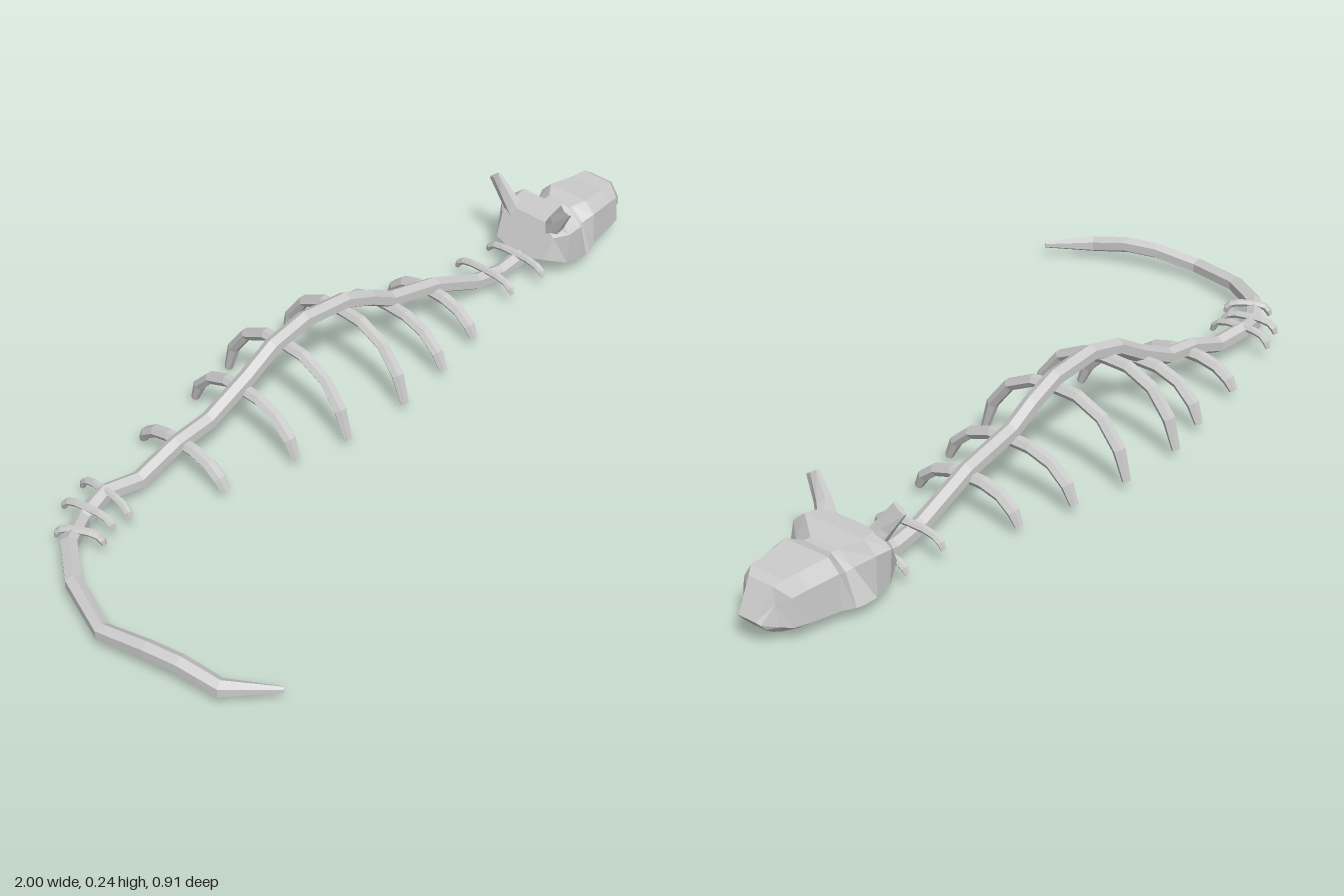
import * as THREE from 'three';

const material = new THREE.MeshStandardMaterial({ color: 0xcccccc, flatShading: true });
const AXIS_Z = -0.25;

// Skin a list of equal-sized rings (counter-clockwise seen from the far end) and cap both ends.
function loft(name, rings) {
  const n = rings[0].length, last = rings.length - 1, pos = [];
  const tri = (...pts) => pts.forEach((p) => pos.push(p.x, p.y, p.z));
  for (let i = 0; i < last; i++) {
    for (let j = 0; j < n; j++) {
      const k = (j + 1) % n;
      tri(rings[i][j], rings[i][k], rings[i + 1][k]);
      tri(rings[i][j], rings[i + 1][k], rings[i + 1][j]);
    }
  }
  for (let j = 1; j < n - 1; j++) {
    tri(rings[0][0], rings[0][j + 1], rings[0][j]);
    tri(rings[last][0], rings[last][j], rings[last][j + 1]);
  }
  const geometry = new THREE.BufferGeometry();
  geometry.setAttribute('position', new THREE.Float32BufferAttribute(pos, 3));
  geometry.computeVertexNormals();
  const mesh = new THREE.Mesh(geometry, material);
  mesh.name = name;
  return mesh;
}

// Six-sided bone along a polyline; size gives [across, along reference] radii by point index.
function bone(name, path, size, reference) {
  const pts = path.map((p) => new THREE.Vector3(...p));
  const rings = pts.map((p, i) => {
    const t = pts[Math.min(i + 1, pts.length - 1)].clone().sub(pts[Math.max(i - 1, 0)]).normalize();
    const r = reference.clone().cross(t).normalize();
    const u = t.clone().cross(r);
    const [a, b] = size(i);
    return Array.from({ length: 6 }, (_, j) => {
      const angle = Math.PI / 2 + (j / 6) * Math.PI * 2;
      return p.clone().addScaledVector(r, Math.cos(angle) * a).addScaledVector(u, Math.sin(angle) * b);
    });
  });
  return loft(name, rings);
}

const X_AXIS = new THREE.Vector3(1, 0, 0);
const ROUND_ARCH = [[0.3, 0.98], [0.63, 0.79], [0.87, 0.42], [0.98, 0]];
const FLAT_ARCH = [[0.45, 0.97], [0.75, 0.8], [0.92, 0.45], [1, 0]];

// Rib arch across the spine, in its own x = 0 plane.
function rib(name, arch, x, z, halfWidth, top, bottom, radius, turn = 0) {
  const full = [...arch.map(([w, h]) => [-w, h]).reverse(), [0, 1], ...arch];
  const path = full.map(([w, h]) => [0, bottom + h * (top - bottom), w * halfWidth]);
  const size = (i) => {
    const r = radius * (i === 0 || i === full.length - 1 ? 0.65 : 1);
    return [r * 0.9, r];
  };
  const mesh = bone(name, path, size, X_AXIS);
  mesh.position.set(x, 0, z);
  mesh.rotation.y = turn;
  return mesh;
}

function createHead() {
  const head = new THREE.Group();
  head.name = 'head';

  // x, lean, then half-section corners [half width, y]: bottom, jaw, cheek, brow
  const sections = [
    [0.618, 0.45, [0.04, 0.055], [0.08, 0.065], [0.085, 0.12], [0.045, 0.145]],
    [0.7, 0, [0.045, 0.035], [0.108, 0.045], [0.113, 0.13], [0.07, 0.158]],
    [0.745, 0, [0.045, 0.018], [0.112, 0.037], [0.112, 0.133], [0.08, 0.161]],
    [0.775, 0, [0.045, 0.004], [0.108, 0.034], [0.078, 0.108], [0.037, 0.136]],
    [0.795, 0, [0.045, 0.001], [0.103, 0.034], [0.075, 0.106], [0.037, 0.137]],
    [0.825, 0, [0.045, 0.005], [0.09, 0.036], [0.086, 0.12], [0.058, 0.148]],
    [0.9, 0, [0.042, 0.015], [0.076, 0.04], [0.073, 0.115], [0.047, 0.144]],
    [0.938, 0, [0.036, 0.023], [0.07, 0.045], [0.065, 0.11], [0.044, 0.145]],
    [0.957, 0, [0.03, 0.029], [0.045, 0.045], [0.038, 0.095], [0.032, 0.134]],
    [0.938, 0.9, [0.024, 0.035], [0.032, 0.045], [0.03, 0.06], [0.022, 0.068]],
  ];
  head.add(loft('skull', sections.map(([x, lean, ...half]) => {
    const point = (w, y) => new THREE.Vector3(x + lean * y, y, AXIS_Z + w);
    return [...half.map(([w, y]) => point(-w, y)), ...half.map(([w, y]) => point(w, y)).reverse()];
  })));

  // Flattened horns splayed to each side
  const taper = (i) => [[0.026, 0.026], [0.023, 0.017], [0.02, 0.008]][i];
  for (const s of [-1, 1]) {
    head.add(bone(s > 0 ? 'leftHorn' : 'rightHorn', [
      [0.698, 0.125, AXIS_Z + s * 0.06], [0.687, 0.165, AXIS_Z + s * 0.084], [0.678, 0.215, AXIS_Z + s * 0.118],
    ], taper, X_AXIS));
  }
  return head;
}

export function createModel() {
  const model = new THREE.Group();
  model.name = 'serpentSkeleton';

  // Backbone from tail tip to skull
  const spine = [
    [-0.84, 0.036, 0.45], [-0.925, 0.037, 0.355], [-0.945, 0.054, 0.26], [-0.962, 0.054, 0.18],
    [-0.98, 0.038, 0.06], [-0.93, 0.048, -0.09], [-0.86, 0.052, -0.19], [-0.78, 0.043, -0.243],
    [-0.7, 0.058, -0.262], [-0.61, 0.05, AXIS_Z], [-0.5, 0.087, AXIS_Z], [-0.4, 0.1, AXIS_Z],
    [-0.28, 0.155, AXIS_Z], [-0.2, 0.2, AXIS_Z], [-0.1, 0.223, AXIS_Z], [0.03, 0.212, AXIS_Z],
    [0.11, 0.18, AXIS_Z], [0.18, 0.142, AXIS_Z], [0.33, 0.108, AXIS_Z], [0.48, 0.045, AXIS_Z],
    [0.57, 0.03, AXIS_Z], [0.68, 0.045, AXIS_Z],
  ];
  const spineSize = (i) => (i === 0 ? [0.006, 0.008] : [0.021, 0.021]);
  model.add(bone('spine', spine, spineSize, new THREE.Vector3(0, 1, 0)));

  // Large ribs: x, half width, top height
  const ribs = [
    [-0.482, 0.14, 0.08], [-0.295, 0.172, 0.13], [-0.162, 0.203, 0.187],
    [0.024, 0.203, 0.187], [0.18, 0.178, 0.122], [0.325, 0.142, 0.093],
  ];
  ribs.forEach(([x, w, top], i) => model.add(rib(`rib${i + 1}`, ROUND_ARCH, x, AXIS_Z, w, top, 0.021, 0.0165)));

  // Small ribs on the neck and the tail: x, z, half width, top, bottom, turn
  const smallRibs = [
    [0.515, AXIS_Z, 0.092, 0.064, 0.033, 0], [0.63, AXIS_Z, 0.092, 0.057, 0.028, 0],
    [-0.7, -0.258, 0.081, 0.068, 0.033, 0], [-0.763, -0.242, 0.07, 0.065, 0.035, 0.18],
    [-0.825, -0.196, 0.055, 0.065, 0.038, 0.5],
  ];
  smallRibs.forEach(([x, z, w, top, bottom, turn], i) =>
    model.add(rib(`smallRib${i + 1}`, FLAT_ARCH, x, z, w, top, bottom, 0.0098, turn)));

  model.add(createHead());
  return model;
}
